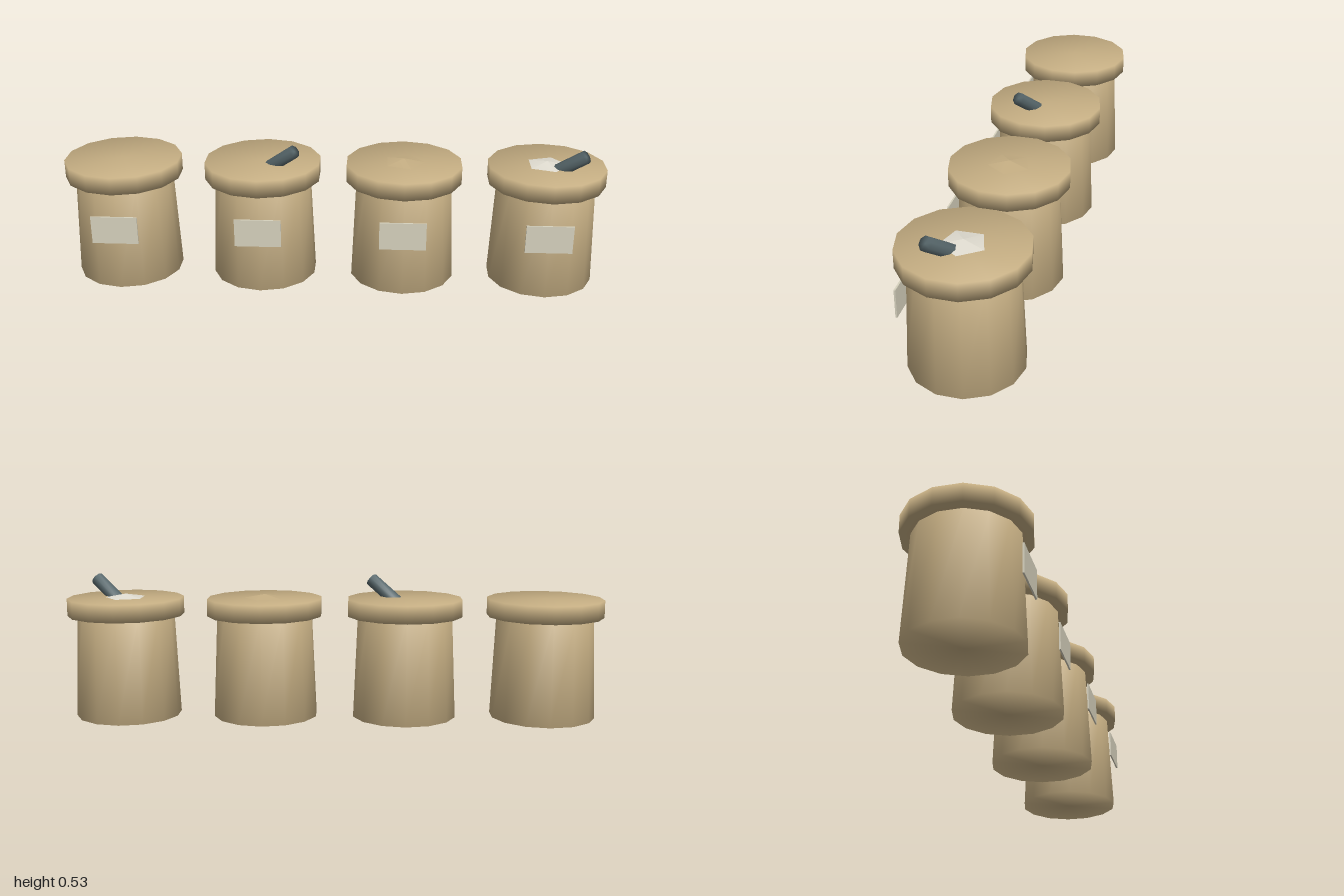
import * as THREE from 'three';
import { mergeVertices } from 'three/addons/utils/BufferGeometryUtils.js';

const mat = (name, color) => {
  const m = new THREE.MeshStandardMaterial({ color });
  m.name = name;
  return m;
};

// Capped cylinder with normals blended across every edge
function softCylinder(top, bottom, height, sides, thetaStart = 0) {
  const g = new THREE.CylinderGeometry(top, bottom, height, sides, 1, false, thetaStart);
  g.deleteAttribute('normal');
  g.deleteAttribute('uv');
  const merged = mergeVertices(g, 1e-4);
  merged.computeVertexNormals();
  return merged;
}

function add(parent, name, geometry, material, x, y, z) {
  const mesh = new THREE.Mesh(geometry, material);
  mesh.name = name;
  mesh.position.set(x, y, z);
  parent.add(mesh);
  return mesh;
}

export function createModel() {
  const tan = mat('tan clay', 0xc4ad82);
  const paper = mat('pale label', 0xd6d1bd);
  const white = mat('off white contents', 0xe0dcd0);
  const slate = mat('dark slate handle', 0x58686c);

  const body = softCylinder(0.18, 0.197, 0.384, 14);
  const lid = softCylinder(0.217, 0.217, 0.065, 14);
  const label = new THREE.BoxGeometry(0.17, 0.105, 0.006);
  // Shallow five-sided heap, its foot sunk in the lid
  const heap = new THREE.ConeGeometry(0.11, 0.02, 5, 1, false, Math.PI / 2);
  const handle = softCylinder(0.025, 0.025, 0.16, 8);

  const handleAxis = new THREE.Vector3(1.2, 1, 0.65).normalize();
  const handleCentre = new THREE.Vector3(0.125, 0.51, 0.077).addScaledVector(handleAxis, -0.08);

  // Row of four jars with differing extras
  const jars = [
    { x: -0.788 },
    { x: -0.263, scoop: true },
    { x: 0.263, heap: tan },
    { x: 0.788, heap: white, scoop: true },
  ];

  const model = new THREE.Group();
  model.name = 'jarRow';
  jars.forEach((spec, i) => {
    const jar = new THREE.Group();
    jar.name = `jar${i + 1}`;
    jar.position.x = spec.x;
    add(jar, 'body', body, tan, 0, 0.192, 0);
    add(jar, 'lid', lid, tan, 0, 0.4155, 0);
    add(jar, 'label', label, paper, -0.002, 0.239, 0.204);
    if (spec.heap) add(jar, 'heap', heap, spec.heap, 0, 0.452, 0);
    if (spec.scoop) {
      const h = add(jar, 'scoopHandle', handle, slate, ...handleCentre.toArray());
      h.quaternion.setFromUnitVectors(new THREE.Vector3(0, 1, 0), handleAxis);
    }
    model.add(jar);
  });
  return model;
}
